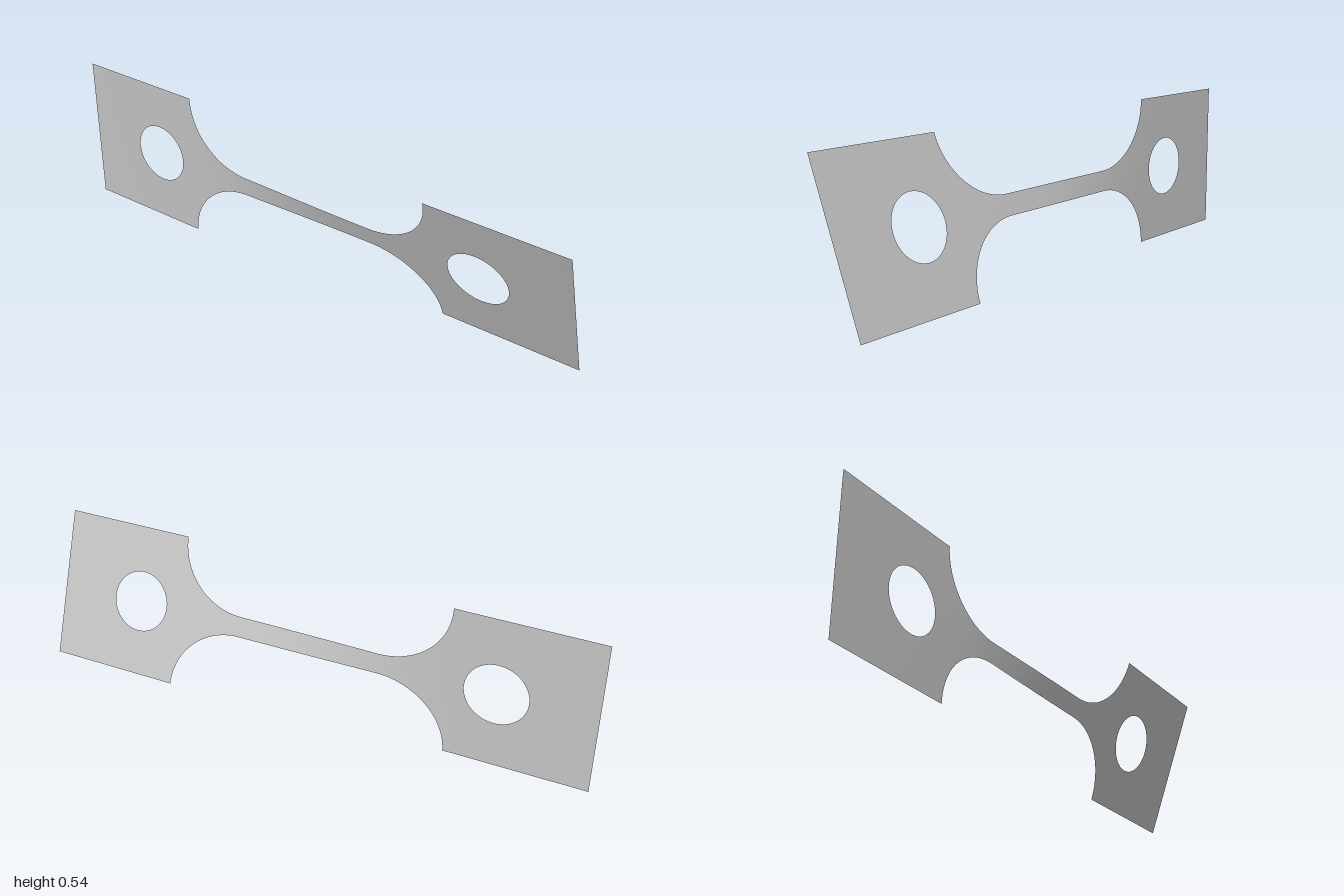
import * as THREE from 'three';
import { mergeGeometries } from 'three/addons/utils/BufferGeometryUtils.js';

const MID = 0.271, GRIP = 0.27, NECK = 0.036; // axis height, half heights
const GRIP_X = 0.508, NECK_X = 0.26;          // where the grips end and the neck begins
const HOLE_X = 0.67, HOLE_R = 0.108;

// half height of the sheet at x: grip, round fillet, narrow neck
function halfHeight(x) {
  const a = Math.abs(x);
  if (a >= GRIP_X) return GRIP;
  if (a <= NECK_X) return NECK;
  const t = (a - NECK_X) / (GRIP_X - NECK_X);
  return NECK + (GRIP - NECK) * (1 - Math.sqrt(1 - t * t));
}

// twist about the long axis: slight along the whole sheet, strong in the neck
const angleAt = (x) =>
  THREE.MathUtils.degToRad(1.5 * (x + 1) + 17 * THREE.MathUtils.smoothstep(x, -0.55, 0.25));
const rateAt = (x) => (angleAt(x + 0.001) - angleAt(x - 0.001)) / 0.002;

// twisted strip between two edge curves, over ascending x values
function strip(xs, low, high, rows = 4) {
  const pos = [], nor = [], idx = [], n = new THREE.Vector3();
  xs.forEach((x, i) => {
    const a = angleAt(x), c = Math.cos(a), s = Math.sin(a);
    for (let j = 0; j <= rows; j++) {
      const v = THREE.MathUtils.lerp(low(x), high(x), j / rows);
      pos.push(x, MID + v * c, v * s);
      n.set(-v * rateAt(x), -s, c).normalize();
      nor.push(n.x, n.y, n.z);
      if (i && j) {
        const d = i * (rows + 1) + j, b = d - rows - 1;
        idx.push(b - 1, d - 1, d, b - 1, d, b);
      }
    }
  });
  const g = new THREE.BufferGeometry();
  g.setAttribute('position', new THREE.Float32BufferAttribute(pos, 3));
  g.setAttribute('normal', new THREE.Float32BufferAttribute(nor, 3));
  g.setIndex(idx);
  return g;
}

const span = (a, b, n) => Array.from({ length: n + 1 }, (_, i) => a + ((b - a) * i) / n);
// samples bunched towards the ends, for round outlines
const round = (a, b, n) => span(0, Math.PI, n).map((t) => (a + b) / 2 - ((b - a) / 2) * Math.cos(t));
const top = halfHeight, bottom = (x) => -halfHeight(x);

// grip plate with its round bolt hole
function gripGeometry(side) {
  const cx = side * HOLE_X;
  const hole = (x) => Math.sqrt(Math.max(0, HOLE_R ** 2 - (x - cx) ** 2));
  const ends = [side, side * GRIP_X].sort((a, b) => a - b);
  const around = round(cx - HOLE_R, cx + HOLE_R, 32);
  return mergeGeometries([
    strip(span(ends[0], cx - HOLE_R, 6), bottom, top),
    strip(around, hole, top),
    strip(around, bottom, (x) => -hole(x)),
    strip(span(cx + HOLE_R, ends[1], 6), bottom, top),
  ]);
}

export function createModel() {
  const model = new THREE.Group();
  model.name = 'twistedTensileSpecimen';
  const steel = new THREE.MeshStandardMaterial({ color: 0xc4c4c4, side: THREE.DoubleSide });
  steel.name = 'light grey steel';
  const add = (name, geometry) => {
    const mesh = new THREE.Mesh(geometry, steel);
    mesh.name = name;
    model.add(mesh);
  };

  // mirrored grips and fillets
  for (const [name, side] of [['left', 1], ['right', -1]]) {
    add(name + 'Grip', gripGeometry(side));
    const xs = span(0, Math.PI / 2, 24)
      .map((t) => side * (NECK_X + (GRIP_X - NECK_X) * Math.sin(t)))
      .sort((a, b) => a - b);
    add(name + 'Fillet', strip(xs, bottom, top));
  }

  // narrow gauge section
  add('neck', strip(span(-NECK_X, NECK_X, 24), bottom, top));
  return model;
}
